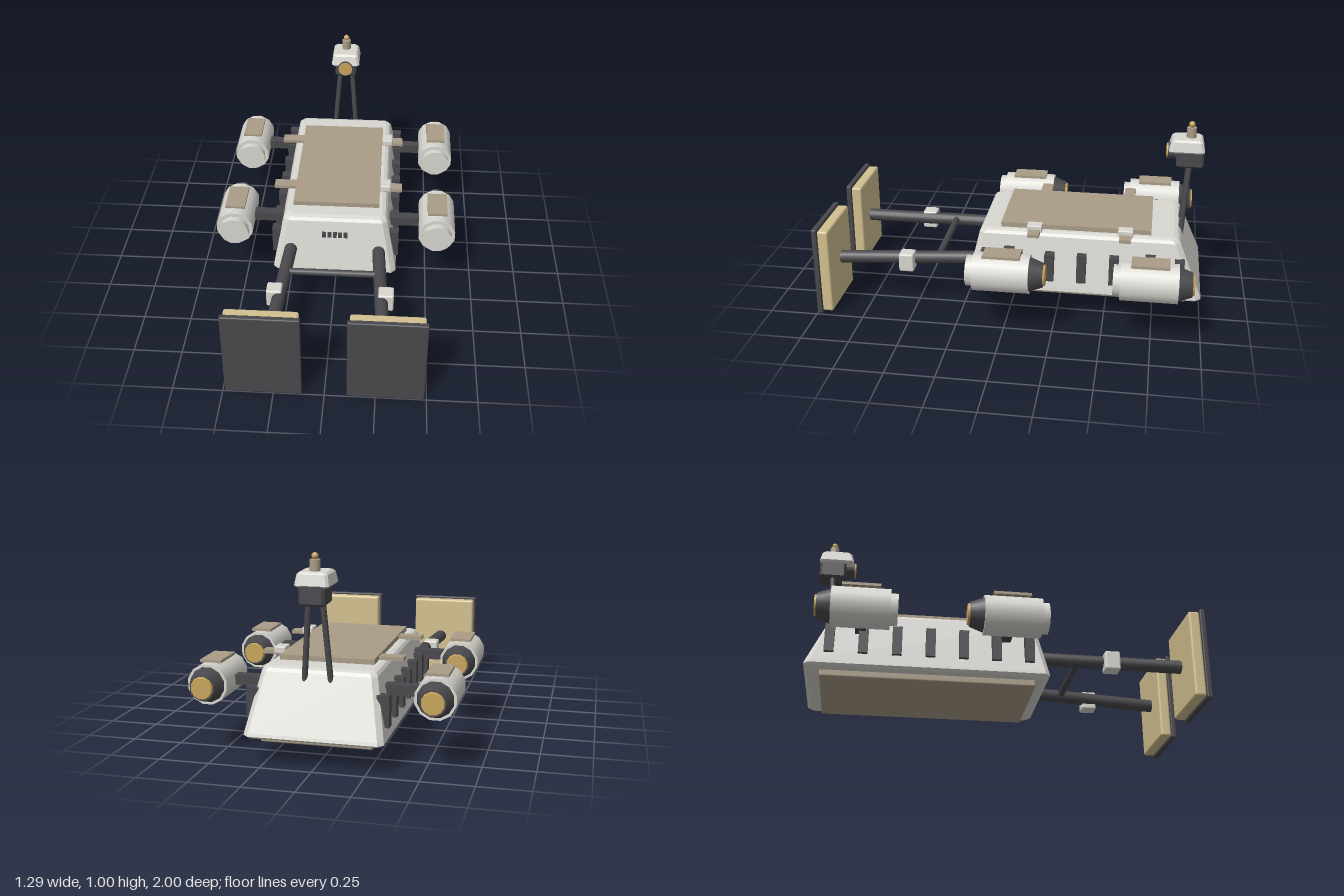
import * as THREE from 'three';
import { RoundedBoxGeometry } from 'three/addons/geometries/RoundedBoxGeometry.js';

const material = (name, color) => {
  const m = new THREE.MeshStandardMaterial({ color });
  m.name = name;
  return m;
};

// Stacked rectangles with cut corners; each ring is [y, halfWidth, zBack, zFront, cornerCut]
function loft(rings) {
  const pos = [], index = [], n = 8;
  for (const [y, w, z0, z1, c] of rings) {
    const ring = [[w - c, z1], [w, z1 - c], [w, z0 + c], [w - c, z0],
      [-w + c, z0], [-w, z0 + c], [-w, z1 - c], [-w + c, z1]];
    ring.forEach(([x, z]) => pos.push(x, y, z));
  }
  for (let r = 0; r < rings.length - 1; r++) {
    for (let i = 0; i < n; i++) {
      const a = r * n + i, b = r * n + (i + 1) % n;
      index.push(a, b, b + n, a, b + n, a + n);
    }
  }
  const top = (rings.length - 1) * n;
  for (let i = 1; i < n - 1; i++) {
    index.push(0, i + 1, i);
    index.push(top, top + i, top + i + 1);
  }
  const g = new THREE.BufferGeometry();
  g.setAttribute('position', new THREE.Float32BufferAttribute(pos, 3));
  g.setIndex(index);
  const flat = g.toNonIndexed();
  flat.computeVertexNormals();
  return flat;
}

export function createModel() {
  const hull = material('hull grey', 0xd8d7d1);
  const dark = material('dark metal', 0x49494d);
  const brown = material('panel brown', 0xaa9c87);
  const sand = material('pad sand', 0xd3c190);
  const gold = material('gold', 0xc9a55c);
  const model = new THREE.Group();
  model.name = 'craft';

  const add = (name, geometry, mat, x = 0, y = 0, z = 0, parent = model) => {
    const mesh = new THREE.Mesh(geometry, mat);
    mesh.name = name;
    mesh.position.set(x, y, z);
    parent.add(mesh);
    return mesh;
  };
  const box = (name, mat, size, at, parent) =>
    add(name, new THREE.BoxGeometry(...size), mat, ...at, parent);
  const softBox = (name, mat, size, r, at, parent) =>
    add(name, new RoundedBoxGeometry(...size, 2, r), mat, ...at, parent);
  // Cylinder along z, front radius first
  const barrel = (name, mat, rFront, rBack, zBack, zFront, sides, parent, x = 0, y = 0) => {
    const g = new THREE.CylinderGeometry(rFront, rBack, zFront - zBack, sides);
    g.rotateY(Math.PI / sides).rotateX(Math.PI / 2);
    return add(name, g, mat, x, y, (zBack + zFront) / 2, parent);
  };
  // Round rod between two points
  const rod = (name, mat, from, to, r) => {
    const a = new THREE.Vector3(...from), b = new THREE.Vector3(...to);
    const mesh = add(name, new THREE.CylinderGeometry(r, r, a.distanceTo(b), 16), mat);
    mesh.position.copy(a).add(b).multiplyScalar(0.5);
    mesh.quaternion.setFromUnitVectors(new THREE.Vector3(0, 1, 0), b.sub(a).normalize());
    return mesh;
  };

  // Tapered body with bevelled edges
  add('body', loft([
    [0.138, 0.318, -0.98, 0.208, 0.02],
    [0.15, 0.333, -0.997, 0.225, 0.025],
    [0.165, 0.331, -0.992, 0.223, 0.025],
    [0.435, 0.278, -0.878, 0.162, 0.025],
    [0.45, 0.268, -0.865, 0.15, 0.025],
    [0.457, 0.25, -0.845, 0.125, 0.02],
  ]), hull);
  softBox('bellyPlate', brown, [0.54, 0.045, 1.08], 0.01, [0, 0.126, -0.38]);

  // Deck panel with its straps and clips
  box('deckPanel', brown, [0.464, 0.03, 0.78], [0, 0.467, -0.338]);
  for (const z of [-0.598, -0.13]) {
    for (const s of [-1, 1]) box('deckStrap', brown, [0.13, 0.018, 0.06], [s * 0.287, 0.466, z]);
    softBox('deckClip', hull, [0.058, 0.036, 0.078], 0.006, [0.262, 0.479, z]);
  }

  // Vents along the sides and in the nose
  for (const s of [-1, 1]) {
    for (let i = 0; i < 7; i++) {
      box('sideVent', dark, [0.06, 0.15, 0.048], [s * 0.312, 0.285, 0.12 - i * 0.1665]);
    }
  }
  for (let i = -2; i <= 2; i++) box('noseVent', dark, [0.021, 0.032, 0.02], [i * 0.029, 0.36, 0.174]);

  // Four side pods on short arms
  for (const s of [-1, 1]) {
    for (const z of [0, -0.73]) {
      const pod = new THREE.Group();
      pod.name = 'pod';
      pod.position.set(s * 0.547, 0.35, z);
      model.add(pod);
      barrel('podShell', hull, 0.1, 0.1, -0.143, 0.14, 12, pod);
      barrel('podNose', hull, 0.079, 0.079, 0.14, 0.175, 12, pod);
      barrel('podTail', dark, 0.087, 0.062, -0.21, -0.143, 12, pod);
      barrel('podNozzle', gold, 0.056, 0.052, -0.22, -0.21, 12, pod);
      box('podPanel', brown, [0.106, 0.014, 0.186], [0, 0.102, -0.003], pod);
      box('podArm', dark, [0.22, 0.05, 0.052], [-s * 0.18, 0, 0], pod);
    }
  }

  // Front legs, clamps and upright pads
  for (const s of [-1, 1]) {
    rod('frontLeg', dark, [s * 0.233, 0.272, 0.13], [s * 0.284, 0.246, 0.93], 0.034);
    softBox('legClamp', hull, [0.08, 0.1, 0.08], 0.01, [s * 0.286, 0.25, 0.55]);
    softBox('pad', sand, [0.36, 0.46, 0.058], 0.012, [s * 0.3, 0.246, 0.944]);
    softBox('padSole', dark, [0.38, 0.482, 0.028], 0.006, [s * 0.3, 0.246, 0.985]);
  }
  rod('crossBar', dark, [-0.24, 0.271, 0.388], [0.24, 0.271, 0.388], 0.018);

  // Mast with sensor head
  for (const s of [-1, 1]) rod('mastStrut', dark, [s * 0.063, 0.4, -0.878], [s * 0.033, 0.79, -0.902], 0.014);
  add('sensorBase', loft([
    [0.768, 0.052, -0.965, -0.84, 0.012],
    [0.778, 0.061, -0.973, -0.832, 0.012],
    [0.86, 0.061, -0.973, -0.832, 0.012],
  ]), dark);
  add('sensorCap', loft([
    [0.853, 0.074, -0.969, -0.799, 0.01],
    [0.861, 0.081, -0.975, -0.792, 0.012],
    [0.91, 0.072, -0.964, -0.806, 0.012],
    [0.92, 0.062, -0.953, -0.817, 0.012],
  ]), hull);
  barrel('lensHousing', dark, 0.044, 0.044, -0.85, -0.788, 16, model, 0, 0.842);
  barrel('lens', gold, 0.04, 0.04, -0.788, -0.78, 16, model, 0, 0.842);
  add('antenna', new THREE.CylinderGeometry(0.025, 0.025, 0.06, 16), brown, 0, 0.942, -0.903);
  add('antennaStem', new THREE.CylinderGeometry(0.008, 0.008, 0.02, 10), gold, 0, 0.975, -0.903);
  add('antennaTip', new THREE.SphereGeometry(0.016, 16, 12), gold, 0, 0.988, -0.903);

  return model;
}
